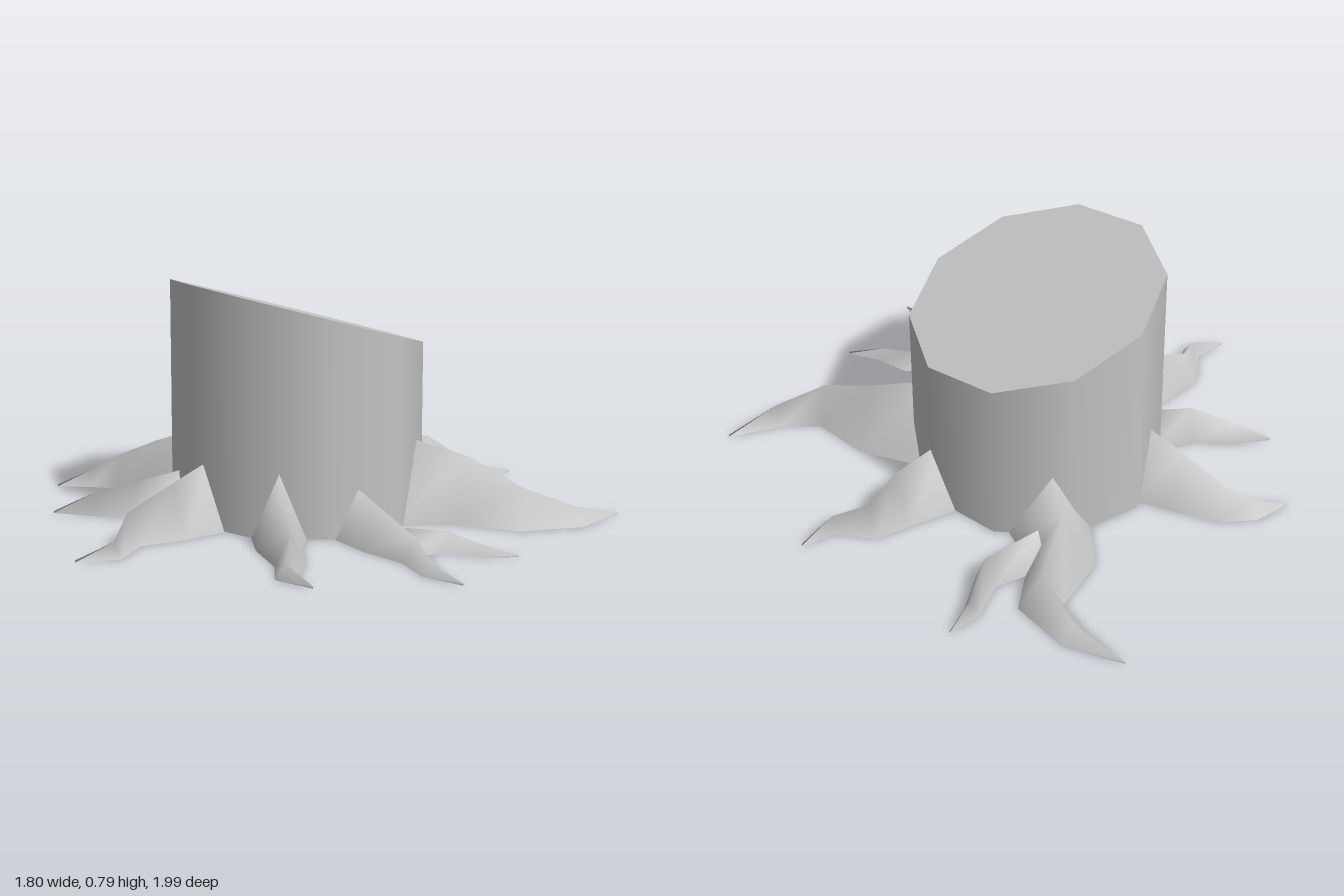
import * as THREE from 'three';

const wood = new THREE.MeshStandardMaterial({ color: 0xc4c4c4, side: THREE.DoubleSide });
wood.name = 'grey wood';

// How every root thins and drops from trunk to tip
const WIDTH_TAPER = [1, 0.8, 0.54, 0.37];
const HEIGHT_TAPER = [1, 0.78, 0.48, 0.23];

// Each root: width and height at its thick end, and its winding ground path [x, z]
const ROOTS = [
  { name: 'frontLeftRoot', width: 0.28, height: 0.265,
    path: [[0.26, 0.235], [0.415, 0.395], [0.5, 0.58], [0.655, 0.65], [0.845, 0.65]] },
  { name: 'frontRoot', width: 0.18, height: 0.16,
    path: [[-0.015, 0.365], [-0.035, 0.55], [-0.03, 0.71], [-0.075, 0.85], [-0.06, 0.985]] },
  { name: 'frontRootBranch', width: 0.09, height: 0.085,
    path: [[-0.02, 0.615], [0.12, 0.67], [0.17, 0.765], [0.26, 0.85]] },
  { name: 'frontRightRoot', width: 0.18, height: 0.22,
    path: [[-0.24, 0.27], [-0.315, 0.385], [-0.38, 0.55], [-0.46, 0.645], [-0.445, 0.77]] },
  { name: 'rightRoot', width: 0.18, height: 0.22,
    path: [[-0.355, 0.03], [-0.505, 0.055], [-0.675, 0.07], [-0.78, 0.17], [-0.905, 0.155]] },
  { name: 'smallRightRoot', width: 0.11, height: 0.15,
    path: [[-0.32, -0.165], [-0.495, -0.21], [-0.6, -0.31], [-0.705, -0.385]] },
  { name: 'backRightRoot', width: 0.23, height: 0.23,
    path: [[-0.22, -0.33], [-0.275, -0.455], [-0.34, -0.595], [-0.425, -0.655], [-0.535, -0.69]] },
  { name: 'backRoot', width: 0.27, height: 0.255,
    path: [[0.18, -0.35], [0.245, -0.52], [0.41, -0.65], [0.405, -0.82], [0.335, -1]] },
  { name: 'backRootBranch', width: 0.1, height: 0.13,
    path: [[0.3, -0.465], [0.495, -0.46], [0.61, -0.56], [0.71, -0.595]] },
  { name: 'leftRoot', width: 0.2, height: 0.22,
    path: [[0.385, -0.015], [0.565, -0.02], [0.67, -0.04], [0.775, 0.035], [0.9, 0.01]] },
];

// Hollow ridged root with a tent-shaped cross-section, open underneath
function rootGeometry({ width, height, path }) {
  const points = path.map(([x, z]) => new THREE.Vector2(x, z));
  const last = points.length - 1;
  const steps = points.slice(1).map((p, i) => p.clone().sub(points[i]).normalize());
  const positions = [], index = [];
  points.forEach((p, i) => {
    // section lies square to the average of the steps before and after it
    const dir = steps[Math.max(i - 1, 0)].clone().add(steps[Math.min(i, last - 1)]).normalize();
    const half = i === last ? 0 : width * WIDTH_TAPER[i] / 2;
    const ridge = i === last ? 0.01 : height * HEIGHT_TAPER[i];
    const sx = dir.y * half, sz = -dir.x * half;
    positions.push(p.x + sx, 0.003, p.y + sz, p.x, ridge, p.y, p.x - sx, 0.003, p.y - sz);
    if (i === 0) return;
    for (let s = 0; s < 2; s++) {
      const a = (i - 1) * 3 + s, b = i * 3 + s;
      index.push(a, a + 1, b, a + 1, b + 1, b);
    }
  });
  const geo = new THREE.BufferGeometry();
  geo.setAttribute('position', new THREE.Float32BufferAttribute(positions, 3));
  geo.setIndex(index);
  geo.computeVertexNormals();
  return geo;
}

// Place a unit ten-sided shape on the trunk axis and raise its upper vertices to the slanted cut
function fitTrunk(geo) {
  geo.scale(0.41, 1, 0.428).translate(0.015, 0.005, -0.02);
  const p = geo.attributes.position;
  for (let i = 0; i < p.count; i++) {
    if (p.getY(i) > 0.5) p.setY(i, 0.672 - 0.299 * p.getX(i));
  }
  return geo;
}

export function createModel() {
  const model = new THREE.Group();
  model.name = 'treeStump';
  const add = (name, geo) => {
    const mesh = new THREE.Mesh(geo, wood);
    mesh.name = name;
    model.add(mesh);
  };

  // Trunk wall: ten sides, smooth, open at the bottom
  const wall = new THREE.CylinderGeometry(1, 1, 1, 10, 1, true, Math.PI / 2);
  add('trunk', fitTrunk(wall.translate(0, 0.5, 0)));

  // Slanted cut face
  const cut = fitTrunk(new THREE.CircleGeometry(1, 10).rotateX(-Math.PI / 2).translate(0, 1, 0));
  cut.computeVertexNormals();
  add('cutTop', cut);

  // Roots and their branches
  for (const root of ROOTS) add(root.name, rootGeometry(root));

  return model;
}
